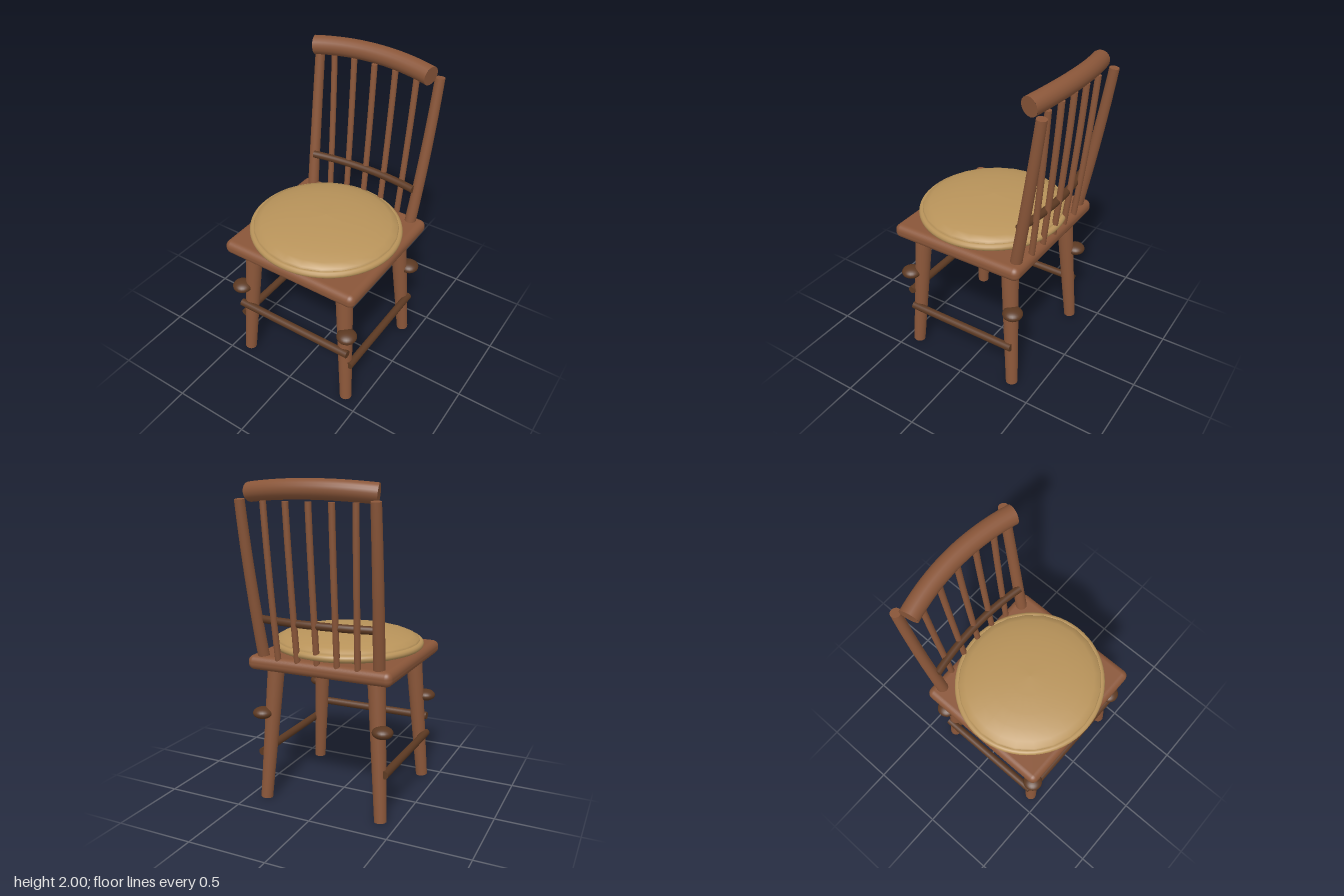
import * as THREE from 'three';
import { mergeGeometries } from 'three/addons/utils/BufferGeometryUtils.js';
import { RoundedBoxGeometry } from 'three/addons/geometries/RoundedBoxGeometry.js';

const V = (x, y, z) => new THREE.Vector3(x, y, z);

// Capped round rod along a curve, tapering from radius r0 to r1
function rodGeometry(curve, r0, r1, steps, sides = 20) {
  const tube = new THREE.TubeGeometry(curve, steps, 1, sides, false);
  const pos = tube.attributes.position;
  const p = V(0, 0, 0);
  for (let i = 0; i < pos.count; i++) {
    const t = Math.floor(i / (sides + 1)) / steps;
    const c = curve.getPointAt(t);
    p.fromBufferAttribute(pos, i).sub(c).multiplyScalar(r0 + (r1 - r0) * t).add(c);
    pos.setXYZ(i, p.x, p.y, p.z);
  }
  const cap = (t, r, sign) => {
    const g = new THREE.CircleGeometry(r, sides);
    const dir = curve.getTangentAt(t).multiplyScalar(sign);
    g.applyQuaternion(new THREE.Quaternion().setFromUnitVectors(V(0, 0, 1), dir));
    const c = curve.getPointAt(t);
    return g.translate(c.x, c.y, c.z);
  };
  return mergeGeometries([tube, cap(0, r0, -1), cap(1, r1, 1)]);
}

const straight = (a, b, r0, r1 = r0) => rodGeometry(new THREE.LineCurve3(a, b), r0, r1, 1);

// Bent rod that passes through the middle point m
function bent(a, m, b, r0, r1 = r0) {
  const control = m.clone().multiplyScalar(2).addScaledVector(a, -0.5).addScaledVector(b, -0.5);
  return rodGeometry(new THREE.QuadraticBezierCurve3(a, control, b), r0, r1, 20);
}

export function createModel() {
  const wood = new THREE.MeshStandardMaterial({ color: 0x8a5639 });
  wood.name = 'wood';
  const darkWood = new THREE.MeshStandardMaterial({ color: 0x5c3922 });
  darkWood.name = 'darkWood';
  const fabric = new THREE.MeshStandardMaterial({ color: 0xb8935a });
  fabric.name = 'fabric';

  const chair = new THREE.Group();
  chair.name = 'chair';
  const add = (name, geometry, material) => {
    const mesh = new THREE.Mesh(geometry, material);
    mesh.name = name;
    chair.add(mesh);
    return mesh;
  };

  // Seat board
  add('seat', new RoundedBoxGeometry(0.94, 0.09, 0.895, 4, 0.04), wood).position.set(0, 0.904, 0.047);

  // Round cushion and its piping
  const profile = [
    [0, 0.945], [0.41, 0.947], [0.45, 0.968], [0.463, 0.995], [0.45, 1.02], [0.41, 1.038],
    [0.34, 1.056], [0.25, 1.071], [0.13, 1.082], [0, 1.086],
  ].map(([r, y]) => new THREE.Vector2(r, y));
  const cushion = add('cushion', new THREE.LatheGeometry(profile, 24), fabric);
  const piping = add('cushionPiping', new THREE.TorusGeometry(0.458, 0.022, 12, 64).rotateX(Math.PI / 2), fabric);
  piping.position.y = 0.988;
  for (const part of [cushion, piping]) {
    part.position.z = 0.06;
    part.scale.z = 0.968;
  }

  for (const s of [-1, 1]) {
    // Splayed legs, each with a flattened bead on its outer side
    for (const [name, zTop, zFoot, zBead] of [['front', 0.363, 0.42, 0.435], ['back', -0.27, -0.328, -0.335]]) {
      add(name + 'Leg', straight(V(s * 0.393, 0.004, zFoot), V(s * 0.333, 0.89, zTop), 0.038, 0.054), wood);
      const bead = add(name + 'LegBead', new THREE.SphereGeometry(0.063, 24, 16), darkWood);
      bead.scale.y = 0.58;
      bead.position.set(s * 0.402, 0.572, zBead);
    }
    // Side stretcher
    add('sideStretcher', straight(V(s * 0.415, 0.307, 0.425), V(s * 0.415, 0.307, -0.333), 0.025), darkWood);
    // Back post
    add('backPost', bent(V(s * 0.378, 0.93, -0.338), V(s * 0.402, 1.42, -0.426),
      V(s * 0.414, 1.885, -0.497), 0.036, 0.03), wood);
  }

  // Front stretcher
  add('frontStretcher', straight(V(-0.412, 0.422, 0.44), V(0.412, 0.422, 0.44), 0.025), darkWood);

  // Back spindles
  for (let i = -2; i <= 2; i++) {
    add('spindle', bent(V(i * 0.13, 0.93, -0.372), V(i * 0.137, 1.42, -0.424),
      V(i * 0.1425, 1.875, -0.46), 0.019), wood);
  }

  // Lower back rail and crest rail, both bowed backwards
  add('lowerBackRail', bent(V(-0.375, 1.175, -0.352), V(0, 1.175, -0.39), V(0.375, 1.175, -0.352), 0.024), darkWood);
  add('crestRail', bent(V(-0.395, 1.922, -0.413), V(0, 1.943, -0.462), V(0.395, 1.922, -0.413), 0.057), wood);

  return chair;
}
